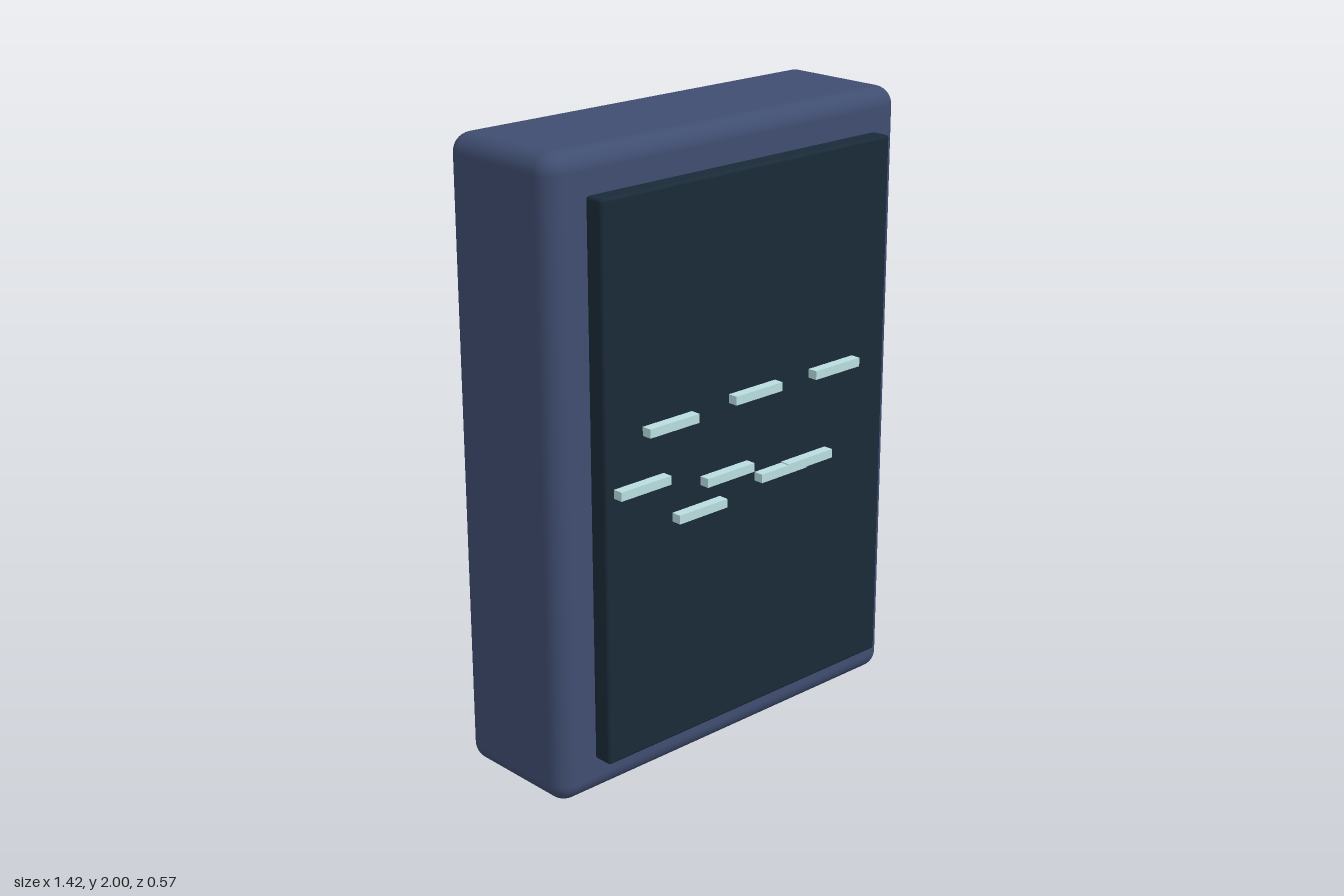
import * as THREE from 'three';
import { RoundedBoxGeometry } from 'three/addons/geometries/RoundedBoxGeometry.js';

export function createModel() {
  const model = new THREE.Group();
  model.name = 'displayPanel';

  const bodyMaterial = new THREE.MeshStandardMaterial({ color: 0x3f4d70 });
  const screenMaterial = new THREE.MeshStandardMaterial({ color: 0x1a2a38 });
  const barMaterial = new THREE.MeshStandardMaterial({ color: 0xb8dde0 });

  const add = (name, geometry, material, x, y, z) => {
    const mesh = new THREE.Mesh(geometry, material);
    mesh.name = name;
    mesh.position.set(x, y, z);
    model.add(mesh);
  };

  // Rounded housing
  add('housing', new RoundedBoxGeometry(1.424, 2, 0.455, 5, 0.06), bodyMaterial, 0, 1, -0.0555);

  // Dark screen slab floating just ahead of the housing
  add('screen', new RoundedBoxGeometry(1.172, 1.742, 0.068, 3, 0.01), screenMaterial, 0, 1.004, 0.215);

  // Small light bars on the screen: [x, y]
  const barGeometry = new THREE.BoxGeometry(0.194, 0.028, 0.033);
  const bars = [
    [-0.345, 1.167], [0, 1.183], [0.341, 1.183], [-0.458, 1.003],
    [-0.116, 0.952], [-0.23, 0.867], [0.111, 0.905], [0.226, 0.908],
  ];
  bars.forEach(([x, y], i) => add(`lightBar${i + 1}`, barGeometry, barMaterial, x, y, 0.2665));

  return model;
}
